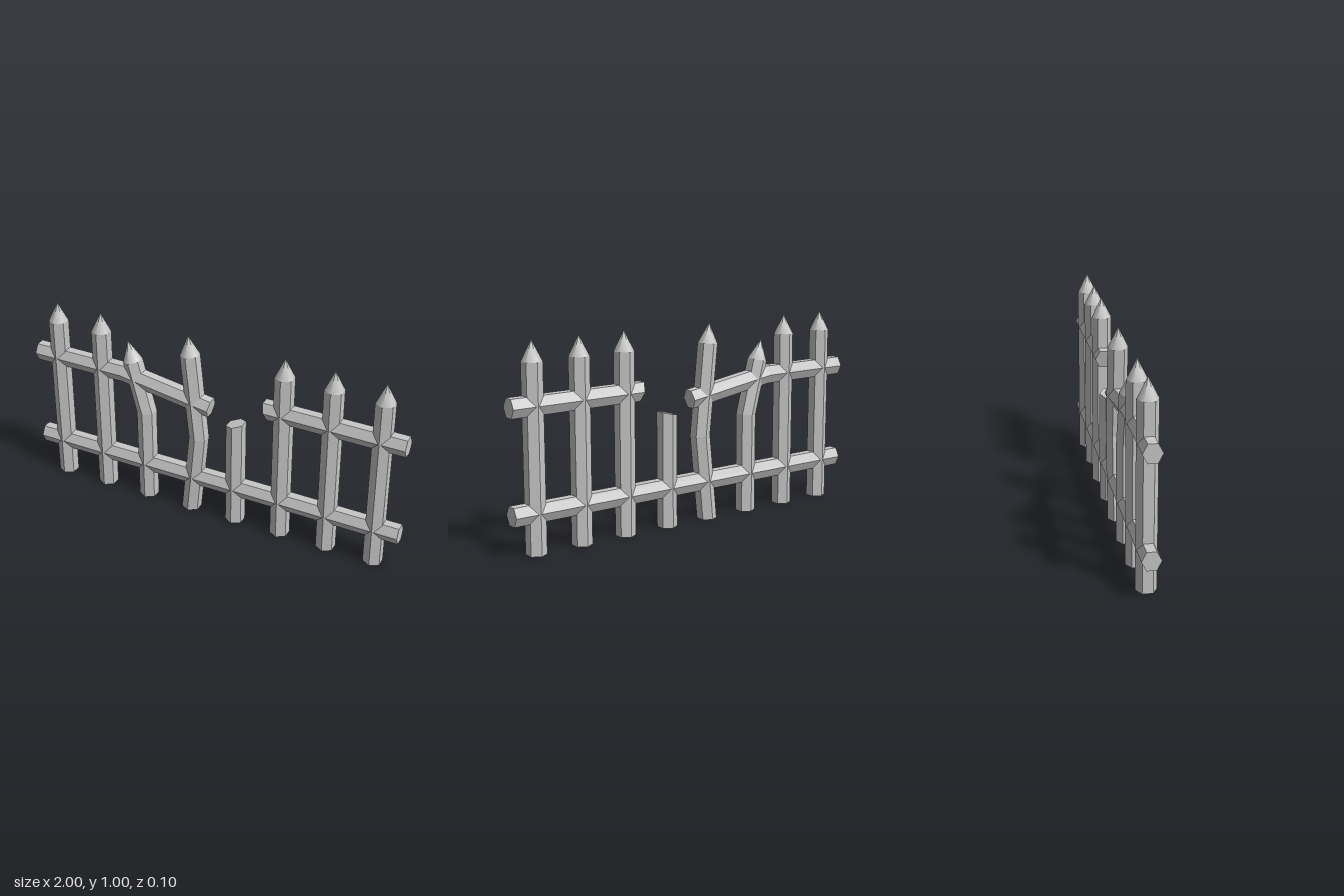
import * as THREE from 'three';

const stone = new THREE.MeshStandardMaterial({ color: 0xc7c7c7 });
stone.name = 'lightGrey';

// Hexagonal bar swept along a path in the xy plane, mitred at the bends.
// Path points are [x, y, scale = 1, skew = 0]; skew slants the cut across the bar,
// and a final scale of 0 makes a pointed tip.
function hexBar(name, path, halfDepth, halfWidth) {
  const pts = path.map(([x, y]) => new THREE.Vector2(x, y));
  const last = pts.length - 1;
  const pointed = path[last][2] === 0;
  const dirs = pts.slice(1).map((p, i) => p.clone().sub(pts[i]).normalize());
  const rings = path.map(([x, y, scale = 1, skew = 0], i) => {
    const a = dirs[Math.max(i - 1, 0)], b = dirs[Math.min(i, last - 1)];
    const d = a.clone().add(b).normalize();
    const mitre = scale / d.dot(a);
    const ring = [];
    for (let k = 0; k < 6; k++) {
      const t = k * Math.PI / 3;
      const n = Math.sin(t) / Math.sin(Math.PI / 3) * halfWidth * mitre;
      ring.push(new THREE.Vector3(
        x + d.y * n + d.x * n * skew,
        y - d.x * n + d.y * n * skew,
        Math.cos(t) * halfDepth * scale));
    }
    return ring;
  });

  const pos = [];
  const tri = (...vs) => vs.forEach((v) => pos.push(v.x, v.y, v.z));
  for (let i = 0; i < last; i++) {
    for (let k = 0; k < 6; k++) {
      const j = (k + 1) % 6;
      const a = rings[i][k], b = rings[i][j], c = rings[i + 1][j], e = rings[i + 1][k];
      tri(a, b, c);
      if (!pointed || i < last - 1) tri(a, c, e);
    }
  }
  // End caps
  for (let k = 1; k < 5; k++) {
    tri(rings[0][0], rings[0][k + 1], rings[0][k]);
    if (!pointed) tri(rings[last][0], rings[last][k], rings[last][k + 1]);
  }
  const geo = new THREE.BufferGeometry();
  geo.setAttribute('position', new THREE.Float32BufferAttribute(pos, 3));
  geo.computeVertexNormals();

  // Round the shading of the tip around its base
  if (pointed) {
    const base = new THREE.Vector3(...path[last - 1].slice(0, 2), 0);
    const axis = new THREE.Vector3(dirs[last - 1].x, dirs[last - 1].y, 0);
    for (let k = 0; k < 6; k++) {
      for (let s = 0; s < 2; s++) {
        const n = rings[last - 1][(k + s) % 6].clone().sub(base).normalize()
          .addScaledVector(axis, 0.48).normalize();
        geo.attributes.normal.setXYZ((last - 1) * 36 + k * 3 + s, n.x, n.y, n.z);
      }
    }
  }
  const mesh = new THREE.Mesh(geo, stone);
  mesh.name = name;
  return mesh;
}

const picket = (name, path) => hexBar(name, path, 0.05, 0.0433);
const rail = (name, path) => hexBar(name, path, 0.046, 0.045);

export function createModel() {
  const group = new THREE.Group();
  group.name = 'brokenFence';

  // Straight pointed pickets
  for (const x of [-0.875, -0.625, 0.375, 0.625, 0.875]) {
    group.add(picket('straightPicket', [[x, 0], [x, 0.9], [x, 1, 0]]));
  }

  // Damaged pickets
  group.add(picket('leaningPicket', [[-0.377, 0], [-0.377, 0.505], [-0.448, 0.78], [-0.473, 0.884, 0]]));
  group.add(picket('bowedPicket', [[-0.124, 0, 1, 0.098], [-0.08, 0.435], [-0.126, 0.894], [-0.136, 0.995, 0]]));
  group.add(picket('snappedPicket', [[0.125, 0], [0.125, 0.573, 1, 0.24]]));

  // Rails
  group.add(rail('lowerRail', [[-1, 0.2], [1, 0.2]]));
  group.add(rail('saggingUpperRail', [[-1, 0.7], [-0.5, 0.7], [-0.013, 0.625]]));
  group.add(rail('brokenUpperRail', [[0.286, 0.7, 1, 0.24], [1, 0.7]]));

  return group;
}
